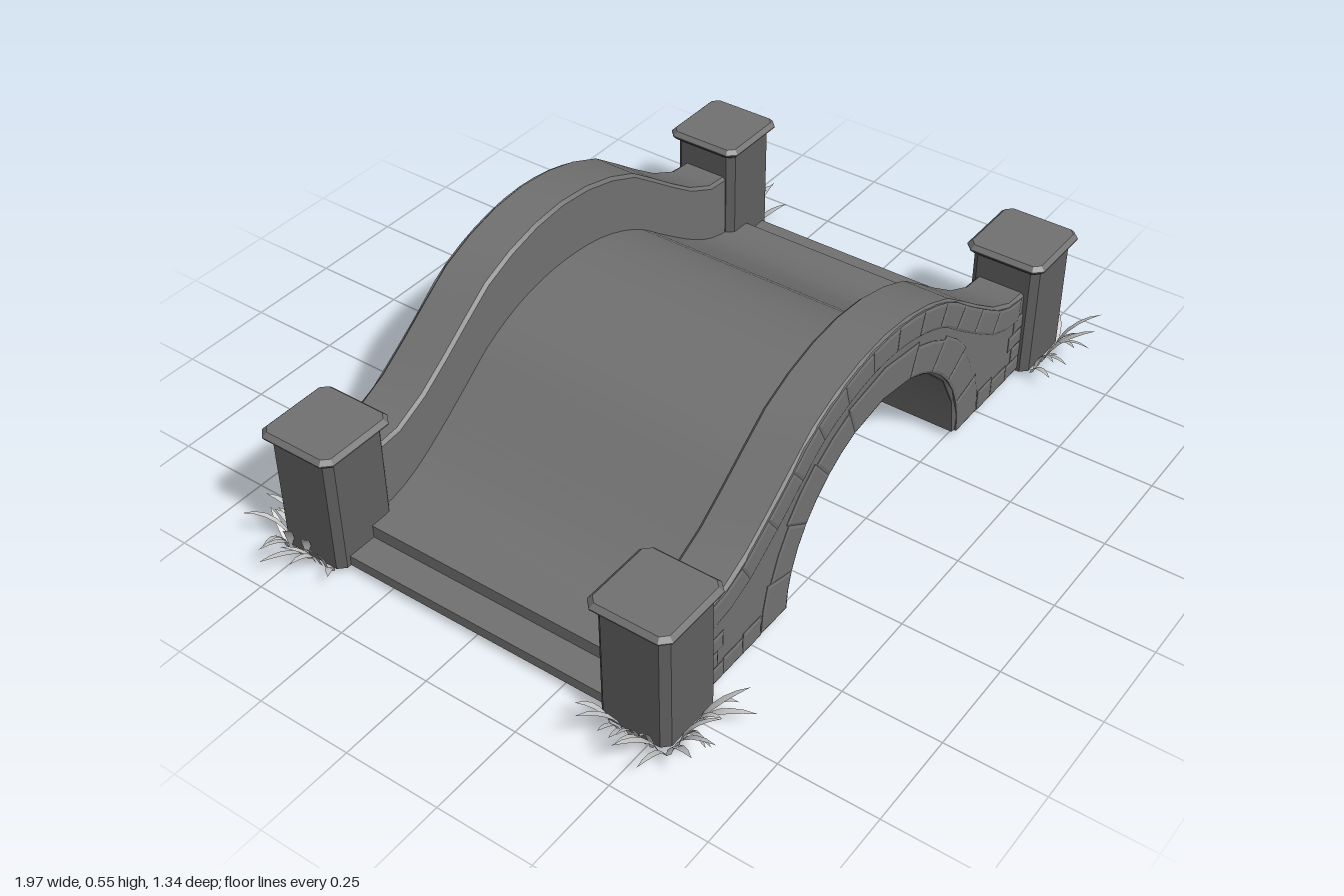
import * as THREE from 'three';
import { mergeGeometries, toCreasedNormals } from 'three/addons/utils/BufferGeometryUtils.js';

const stone = new THREE.MeshStandardMaterial({ color: 0x717171 });
const stoneSheet = new THREE.MeshStandardMaterial({ color: 0x717171, side: THREE.DoubleSide });
const darkStone = new THREE.MeshStandardMaterial({ color: 0x606060 });
const grass = new THREE.MeshStandardMaterial({ color: 0xcccccc, side: THREE.DoubleSide });
const V = (x, y) => new THREE.Vector2(x, y);

function add(parent, name, geometry, material = stone) {
  const mesh = new THREE.Mesh(geometry, material);
  mesh.name = name;
  parent.add(mesh);
}

// Full left-to-right profile from its +x half
function profile(half) {
  const left = half.slice(1).reverse().map(([x, y]) => [-x, y]);
  return new THREE.CatmullRomCurve3([...left, ...half].map(([x, y]) => new THREE.Vector3(x, y, 0)));
}
const parapetTop = profile([[0, 0.552], [0.14, 0.535], [0.29, 0.48], [0.4, 0.4], [0.5, 0.33], [0.58, 0.28], [0.64, 0.263], [0.72, 0.258]]);
const deckTop = profile([[0, 0.385], [0.15, 0.368], [0.29, 0.313], [0.4, 0.235], [0.5, 0.165], [0.59, 0.112], [0.67, 0.086], [0.76, 0.08]]);

// Point on the arch opening, grown by g
const arch = (a, g = 0) => V((0.375 + g) * Math.cos(a), 0.02 + (0.352 + g * 0.9) * Math.sin(a));
const archPoints = (g) => Array.from({ length: 11 }, (_, i) => arch(Math.PI * (1 - i / 10), g));

// Sheet that follows a profile across the width of the bridge
function sheet(points, halfWidth) {
  const n = points.length;
  const g = new THREE.PlaneGeometry(1, halfWidth * 2, n - 1, 1).rotateX(-Math.PI / 2);
  const p = g.attributes.position;
  for (let i = 0; i < p.count; i++) {
    p.setX(i, points[i % n].x);
    p.setY(i, points[i % n].y);
  }
  g.computeVertexNormals();
  return g;
}

function extrude(points, z0, z1, bevel, thickness = bevel) {
  return new THREE.ExtrudeGeometry(new THREE.Shape(points), {
    depth: z1 - z0 - 2 * thickness, bevelEnabled: true, bevelSize: bevel,
    bevelThickness: thickness, bevelOffset: -bevel, bevelSegments: 1,
  }).translate(0, 0, z0 + thickness);
}
const block = (points) => extrude(points, 0.5, 0.527, 0.007, 0.0025);

// Slab with chamfered corners standing on y
function slab(w, d, c, y, h, bevel) {
  const x = w / 2, z = d / 2;
  const pts = [V(x, c - z), V(x, z - c), V(x - c, z), V(c - x, z), V(-x, z - c), V(-x, c - z), V(c - x, -z), V(x - c, -z)];
  return extrude(pts, 0, h, bevel).rotateX(-Math.PI / 2).translate(0, y, 0);
}

function makeWall() {
  const wall = new THREE.Group();
  wall.name = 'parapetWall';
  const outline = [...archPoints(0), V(0.72, 0.02),
    ...parapetTop.getSpacedPoints(16).reverse().map((p) => V(p.x, p.y)), V(-0.72, 0.02)];
  add(wall, 'wallBody', toCreasedNormals(extrude(outline, 0.388, 0.523, 0.008), 0.5));

  // Arch stones, with a wider keystone
  const cuts = [0.01, 0.3, 0.62, 0.94, 1.25];
  const joints = [...cuts, ...cuts.map((a) => Math.PI - a).reverse()];
  const voussoirs = [];
  for (let i = 0; i < joints.length - 1; i++) {
    const a = joints[i], b = joints[i + 1], m = (a + b) / 2;
    const grow = i % 2 ? 0.092 : 0.104;
    voussoirs.push(block([arch(a, 0.004), arch(a, grow), arch(m, grow), arch(b, grow), arch(b, 0.004), arch(m, 0.004)]));
  }
  add(wall, 'archStones', mergeGeometries(voussoirs));

  // Coping stones along the top edge
  const coping = [], n = 13;
  const offset = (t, d) => {
    const p = parapetTop.getPointAt(t), k = parapetTop.getTangentAt(t);
    return V(p.x + k.y * d, p.y - k.x * d);
  };
  for (let i = 0; i < n; i++) {
    const a = 0.03 + (i * 0.94) / n, b = 0.03 + ((i + 1) * 0.94) / n, m = (a + b) / 2;
    const d = 0.07;
    coping.push(block([offset(a, d), offset(m, d), offset(b, d), offset(b, 0.006), offset(m, 0.006), offset(a, 0.006)]));
  }
  add(wall, 'copingStones', mergeGeometries(coping));

  // Small stones beside the pillars and at the foot of the wall
  const small = [];
  for (const s of [-1, 1]) {
    const rect = (x0, x1, y0, y1) => {
      const l = Math.min(s * x0, s * x1), r = Math.max(s * x0, s * x1);
      small.push(block([V(l, y0), V(r, y0), V(r, y1), V(l, y1)]));
    };
    for (let r = 0; r < 4; r++) rect(r % 2 ? 0.645 : 0.625, 0.7, 0.022 + r * 0.045, 0.067 + r * 0.045);
    rect(0.55, 0.625, 0.022, 0.072);
    rect(0.48, 0.55, 0.022, 0.082);
  }
  add(wall, 'footStones', mergeGeometries(small));
  return wall;
}

// Bent, tapering blades fanned around the pillar's outer corner
function grassGeometry(seed) {
  const rand = () => (seed = (seed * 16807) % 2147483647) / 2147483647;
  const blades = [], count = 18;
  for (let i = 0; i < count; i++) {
    const u = (i + 0.5) / count, side = u < 0.5;
    const along = (side ? u * 2 : 2 - u * 2) * 0.16 - 0.065;
    const base = side ? [0.09, along] : [along, 0.092];
    const angle = (side ? 0 : Math.PI / 2) + (rand() - 0.5) * 1.5;
    const reach = 0.05 + rand() * 0.075, height = 0.055 + rand() * 0.09;
    const droop = rand() * 0.6, width = 0.007 + rand() * 0.004;
    const g = new THREE.PlaneGeometry(2, 1, 1, 5);
    const p = g.attributes.position;
    for (let k = 0; k < p.count; k++) {
      const t = p.getY(k) + 0.5, w = p.getX(k) * width * (0.55 + 1.4 * t) * (1 - t * t);
      const r = reach * Math.pow(t, 1.4);
      p.setXYZ(k,
        base[0] + Math.cos(angle) * r - Math.sin(angle) * w,
        height * (1.4 * t - (0.4 + droop * 0.7) * t * t),
        base[1] + Math.sin(angle) * r + Math.cos(angle) * w);
    }
    g.computeVertexNormals();
    blades.push(g);
  }
  return mergeGeometries(blades);
}

function makePillar(seed) {
  const pillar = new THREE.Group();
  pillar.name = 'cornerPillar';
  add(pillar, 'pillarShaft', slab(0.185, 0.185, 0.018, 0.018, 0.322, 0), darkStone);
  add(pillar, 'pillarCap', slab(0.222, 0.217, 0.022, 0.331, 0.025, 0.011));
  add(pillar, 'grassClump', grassGeometry(seed), grass);
  return pillar;
}

export function createModel() {
  const bridge = new THREE.Group();
  bridge.name = 'stoneBridge';

  // Walkway and open vault beneath it
  add(bridge, 'walkway', sheet(deckTop.getSpacedPoints(36), 0.395), stoneSheet);
  add(bridge, 'vault', sheet(archPoints(-0.002), 0.515), stoneSheet);

  // Two low steps at each end
  for (const s of [-1, 1]) {
    add(bridge, 'upperStep', new THREE.BoxGeometry(0.06, 0.036, 0.76).translate(s * 0.73, 0.061, 0));
    add(bridge, 'lowerStep', new THREE.BoxGeometry(0.1, 0.027, 0.76).translate(s * 0.79, 0.0315, 0));
  }

  // Each side: a wall between two pillars, turned around for the back
  [0, Math.PI].forEach((turn, i) => {
    const side = new THREE.Group();
    side.name = i ? 'backSide' : 'frontSide';
    side.add(makeWall());
    for (const s of [-1, 1]) {
      const pillar = makePillar(71 + i * 4000 + (s + 1) * 900);
      pillar.position.set(s * 0.777, 0, 0.46);
      pillar.scale.x = s;
      side.add(pillar);
    }
    side.rotation.y = turn;
    bridge.add(side);
  });
  return bridge;
}
